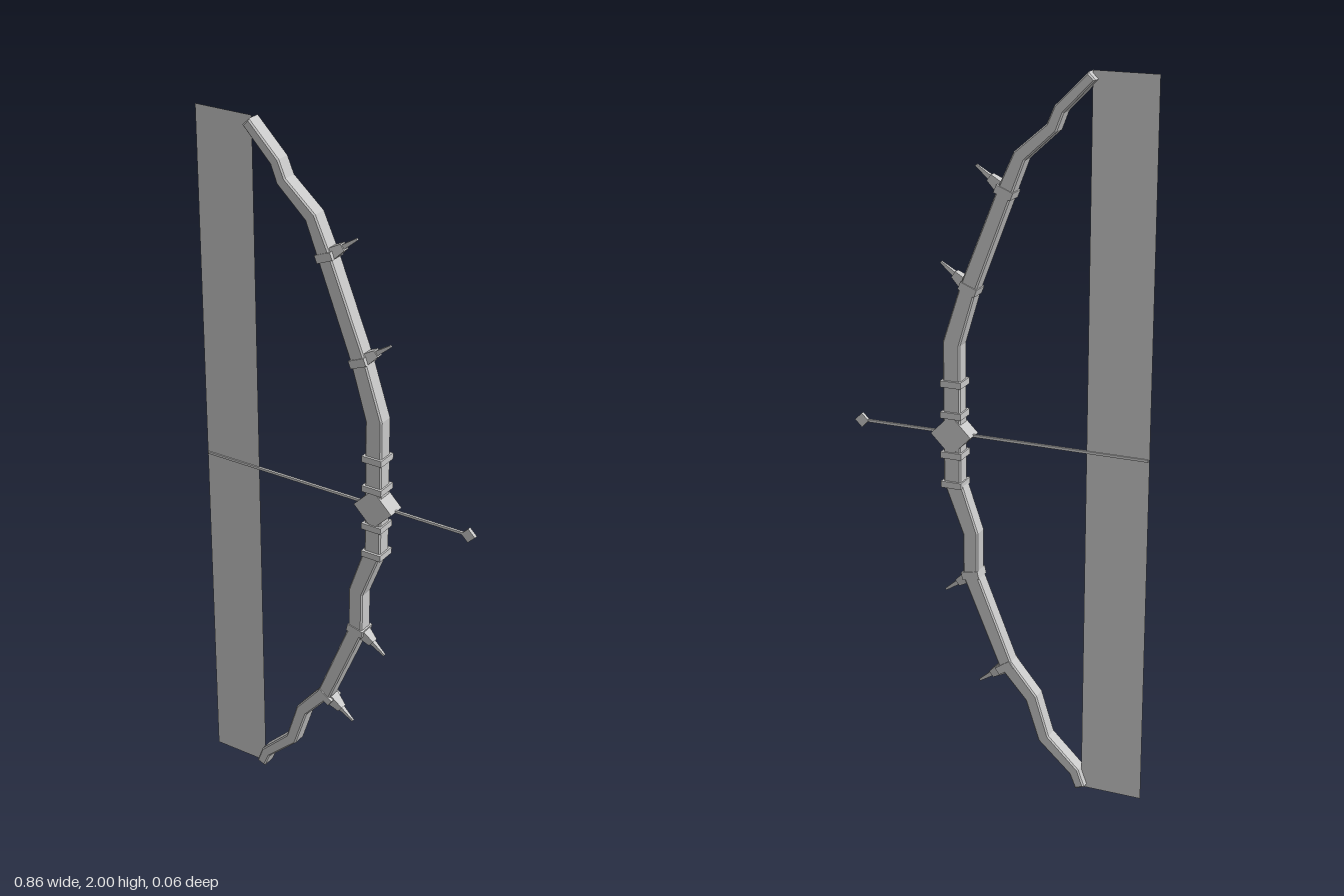
import * as THREE from 'three';

const grey = new THREE.MeshStandardMaterial({ color: 0xc8c8c8, flatShading: true, side: THREE.DoubleSide });
grey.name = 'grey';

// Limb centreline from top tip to bottom tip: x, y, half width
const spine = [
  [-0.258, 1.988, 0.014], [-0.172, 1.9, 0.015], [-0.153, 1.853, 0.016], [-0.066, 1.775, 0.018],
  [-0.026, 1.68, 0.021], [0.077, 1.417, 0.023], [0.127, 1.257, 0.025],
  [0.127, 0.865, 0.025], [0.074, 0.72, 0.022], [0.074, 0.595, 0.022], [-0.03, 0.345, 0.02],
  [-0.108, 0.255, 0.018], [-0.146, 0.138, 0.017], [-0.238, 0.052, 0.015], [-0.256, 0.006, 0.014],
];

// Mitred outline around the centreline
function limbShape() {
  const right = [], left = [];
  const p = spine.map(([x, y]) => new THREE.Vector2(x, y));
  spine.forEach(([, , w], i) => {
    const a = p[i].clone().sub(p[Math.max(i - 1, 0)]).normalize();
    const b = p[Math.min(i + 1, p.length - 1)].clone().sub(p[i]).normalize();
    const t = a.clone().add(b).normalize();
    const n = new THREE.Vector2(-t.y, t.x);
    const seg = a.lengthSq() > 0 ? a : b;
    const m = w / Math.abs(t.dot(seg));
    right.push(p[i].clone().addScaledVector(n, m));
    left.unshift(p[i].clone().addScaledVector(n, -m));
  });
  return new THREE.Shape([...right, ...left]);
}

function add(parent, name, geometry, x = 0, y = 0, z = 0, turn = 0) {
  const mesh = new THREE.Mesh(geometry, grey);
  mesh.name = name;
  mesh.position.set(x, y, z);
  mesh.rotation.z = turn;
  parent.add(mesh);
  return mesh;
}

// Four-sided tapered spike with flat sides facing front, along +y from its origin
function spike(bottom, top, length, from) {
  return new THREE.CylinderGeometry(top * Math.SQRT2, bottom * Math.SQRT2, length, 4)
    .rotateY(Math.PI / 4).translate(0, from + length / 2, 0);
}

// Collar around the limb with a stepped thorn growing outwards
function thorn(parent, name, x, y, limbTurn, thornTurn) {
  const group = new THREE.Group();
  group.name = name;
  group.position.set(x, y, 0);
  parent.add(group);
  add(group, 'collar', new THREE.BoxGeometry(0.05, 0.022, 0.052), 0, 0, 0, limbTurn);
  const stem = new THREE.Group();
  stem.name = 'stem';
  stem.rotation.z = thornTurn;
  group.add(stem);
  add(stem, 'thornBase', spike(0.017, 0.01, 0.045, 0.012));
  add(stem, 'thornTip', spike(0.007, 0.003, 0.055, 0.05));
}

export function createModel() {
  const bow = new THREE.Group();
  bow.name = 'bow';

  // Bevelled limb
  add(bow, 'limb', new THREE.ExtrudeGeometry(limbShape(), {
    depth: 0.038, bevelEnabled: true, bevelThickness: 0.004, bevelSize: 0.004, bevelOffset: -0.004, bevelSegments: 1,
  }), 0, 0, -0.019);

  // Grip rings
  for (const y of [1.145, 1.057, 0.943, 0.858]) {
    add(bow, 'gripRing', new THREE.BoxGeometry(0.06, 0.018, 0.06), 0.127, y);
  }

  // Diamond block at the middle of the grip
  add(bow, 'gripDiamond', new THREE.BoxGeometry(0.083, 0.083, 0.052), 0.129, 1, 0, Math.PI / 4);

  // Thorns on the outer side of each limb
  thorn(bow, 'upperThorn', -0.024, 1.678, 0.38, -0.95);
  thorn(bow, 'upperThorn', 0.078, 1.412, 0.38, -0.95);
  thorn(bow, 'lowerThorn', 0.074, 0.597, -0.22, -Math.PI + 0.92);
  thorn(bow, 'lowerThorn', -0.028, 0.335, -0.6, -Math.PI + 0.92);

  // String sheet
  add(bow, 'stringSheet', new THREE.PlaneGeometry(0.175, 2), -0.3405, 1);

  // Arrow
  add(bow, 'arrowShaft', new THREE.BoxGeometry(0.82, 0.007, 0.007), -0.015, 1);
  add(bow, 'arrowHead', new THREE.BoxGeometry(0.029, 0.029, 0.011), 0.407, 1, 0, Math.PI / 4);

  return bow;
}
